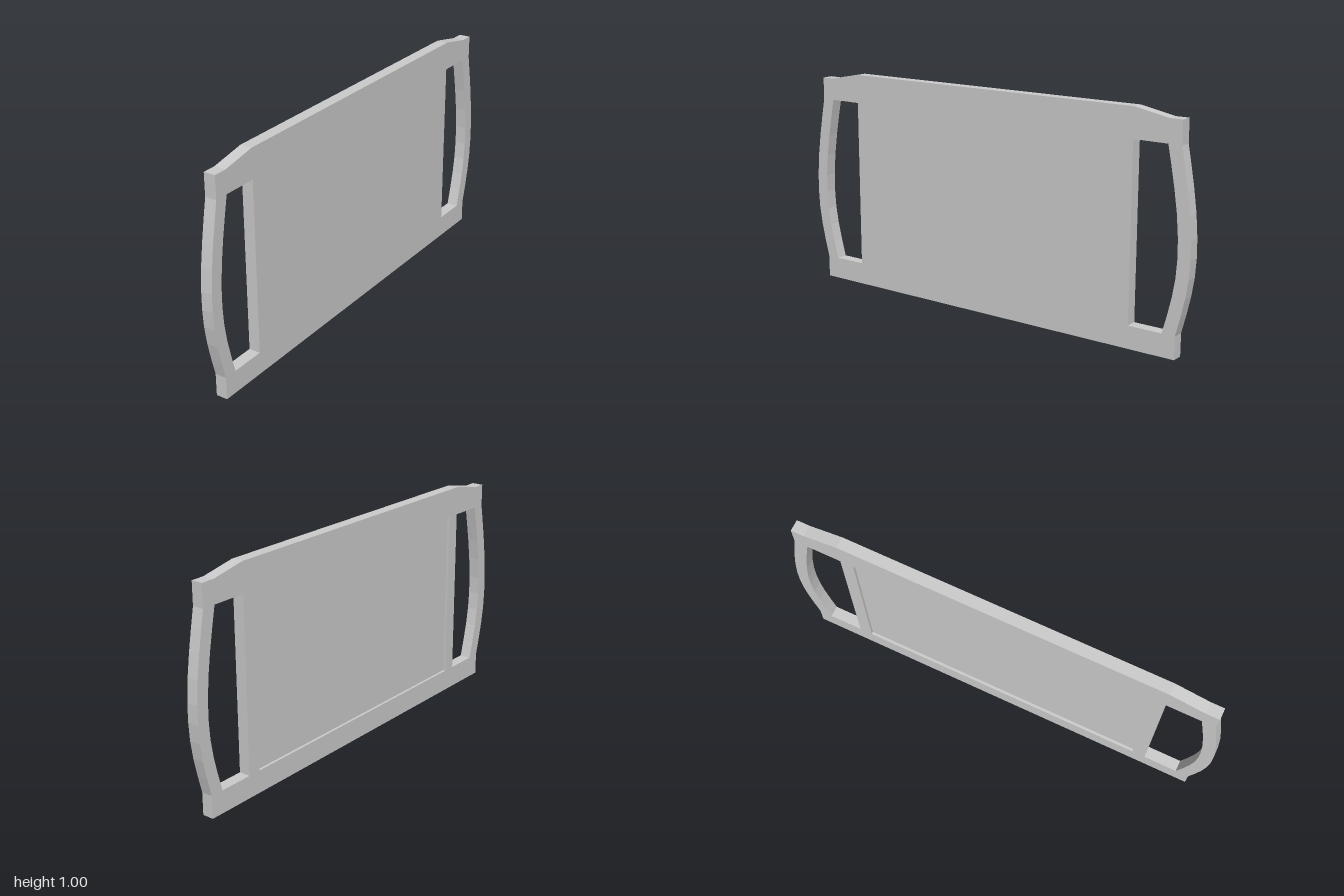
import * as THREE from 'three';

const THICK = 0.052, RECESS = 0.012;
// Bow of the handles: [height, share of the full bulge]
const BOW = [[0.10, 0], [0.18, 0.37], [0.26, 0.69], [0.34, 0.91], [0.42, 1], [0.50, 0.98],
  [0.60, 0.83], [0.70, 0.57], [0.79, 0.28], [0.87, 0]];

const toPoints = (list) => list.map(([z, y]) => new THREE.Vector2(z, y));
const bow = (base, bulge) => BOW.map(([y, t]) => [base + bulge * t, y]);
const mirror = (list) => list.map(([z, y]) => [-z, y]).reverse();

// Board outline (z, y) with a hole for each handle
function boardShape() {
  const half = [[0.945, 0], ...bow(0.945, 0.055), [0.945, 0.97], [0.885, 0.97], [0.73, 1]];
  const shape = new THREE.Shape(toPoints([...half, ...mirror(half)]));
  const hole = [[0.73, 0.10], ...bow(0.885, 0.058), [0.73, 0.87]];
  shape.holes.push(new THREE.Path(toPoints(hole)), new THREE.Path(toPoints(mirror(hole))));
  return shape;
}

// Extrude a (z, y) shape from x = xStart towards -x
function slab(name, shape, depth, xStart) {
  const geometry = new THREE.ExtrudeGeometry(shape, { depth, bevelEnabled: false });
  geometry.rotateY(-Math.PI / 2).translate(xStart, 0, 0);
  const mesh = new THREE.Mesh(geometry, new THREE.MeshStandardMaterial({ color: 0xcccccc }));
  mesh.name = name;
  return mesh;
}

export function createModel() {
  const group = new THREE.Group();
  group.name = 'handledBoard';

  // Solid board with handles
  group.add(slab('board', boardShape(), THICK - RECESS, THICK / 2));

  // Thin rim layer that leaves a shallow recessed panel on the -x face
  const rim = boardShape();
  rim.holes.push(new THREE.Path(toPoints([[-0.67, 0.10], [0.67, 0.10], [0.67, 0.87], [-0.67, 0.87]])));
  group.add(slab('recessRim', rim, RECESS, RECESS - THICK / 2));

  return group;
}
